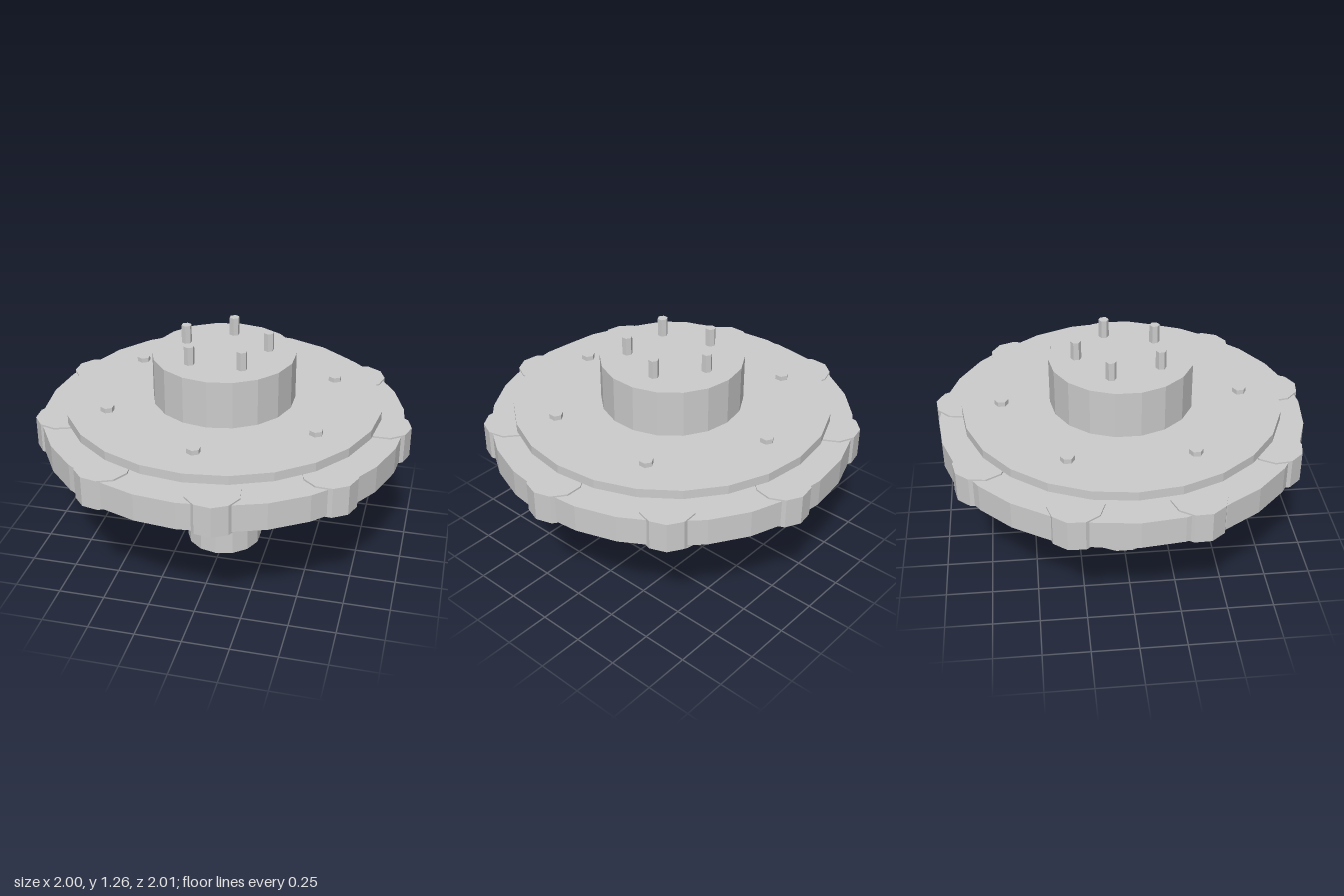
import * as THREE from 'three';

export function createModel() {
  const model = new THREE.Group();
  const material = new THREE.MeshStandardMaterial({ color: 0xcccccc, flatShading: true });

  // Upright prism spanning y0..y1
  function prism(name, radius, sides, y0, y1, x = 0, z = 0, parent = model) {
    const mesh = new THREE.Mesh(new THREE.CylinderGeometry(radius, radius, y1 - y0, sides), material);
    mesh.name = name;
    mesh.position.set(x, (y0 + y1) / 2, z);
    parent.add(mesh);
    return mesh;
  }

  // Ring of equal prisms, the first at the given angle (0 = +x, 90 degrees = -z)
  function ring(name, count, start, distance, build) {
    const group = new THREE.Group();
    group.name = name;
    for (let i = 0; i < count; i++) {
      const a = start + (i / count) * Math.PI * 2;
      build(Math.cos(a) * distance, -Math.sin(a) * distance, a, group);
    }
    model.add(group);
  }

  // Shaft, cover plates, disc and hub
  prism('shaft', 0.212, 14, 0, 0.56);
  prism('lowerPlate', 0.855, 24, 0.59, 0.64);
  prism('mainDisc', 0.982, 28, 0.667, 0.816);
  prism('upperPlate', 0.855, 24, 0.853, 0.902);
  prism('hub', 0.385, 18, 0.9, 1.16);

  // Rounded lobes around the rim, each with a corner pointing outward
  ring('rimLobes', 9, 0, 0.876, (x, z, a, group) => {
    prism('rimLobe', 0.142, 10, 0.66, 0.825, x, z, group).rotation.y = a + Math.PI / 2;
  });

  // Hexagonal bolts on the plate and studs on the hub
  ring('plateBolts', 6, Math.PI / 2, 0.643, (x, z, a, group) => {
    prism('plateBolt', 0.037, 6, 0.89, 0.928, x, z, group);
  });
  ring('hubStuds', 5, Math.PI / 2, 0.238, (x, z, a, group) => {
    prism('hubStud', 0.028, 6, 1.15, 1.26, x, z, group);
  });

  // Centre the uneven lobe outline on x = 0
  for (const part of model.children) part.position.x -= 0.018;
  return model;
}
